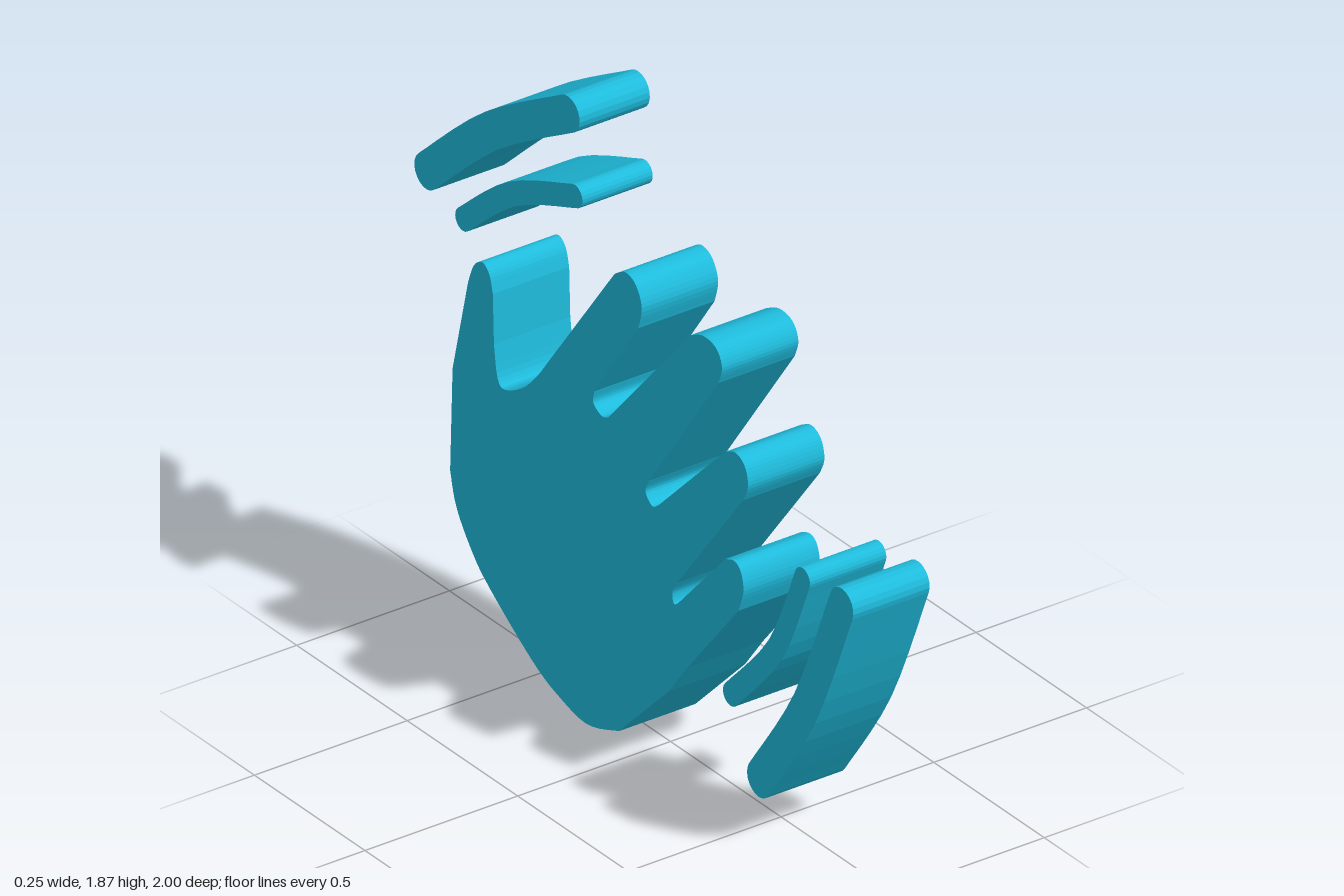
import * as THREE from 'three';

const material = new THREE.MeshStandardMaterial({ color: 0x1fbbdc });
const v = ([a, y]) => new THREE.Vector2(a, y);

// Extrude a side profile (drawn with -z to the right) symmetrically across x
function slab(name, shape, thickness) {
  const geo = new THREE.ExtrudeGeometry(shape, { depth: thickness, bevelEnabled: false, curveSegments: 4 });
  geo.translate(0, 0, -thickness / 2).rotateY(Math.PI / 2);
  const mesh = new THREE.Mesh(geo, material);
  mesh.name = name;
  return mesh;
}

// Curved runs of the hand outline; straight edges join one run to the next
const handRuns = [
  // heel of the palm
  [[0.824, 0.49], [0.797, 0.393], [0.733, 0.297], [0.652, 0.217], [0.45, 0.078], [0.326, 0.024], [0.2, 0], [0.06, 0.045]],
  // outer edge of the palm
  [[-0.165, 0.27], [-0.246, 0.377]],
  // little finger tip, then the gap beside it
  [[-0.48, 0.66], [-0.503, 0.73], [-0.49, 0.785], [-0.46, 0.803], [-0.42, 0.79]],
  [[-0.203, 0.553], [-0.187, 0.548], [-0.182, 0.58], [-0.203, 0.618]],
  // ring finger tip and gap
  [[-0.503, 1.008], [-0.524, 1.06], [-0.508, 1.115], [-0.465, 1.136], [-0.417, 1.115]],
  [[-0.118, 0.815], [-0.09, 0.8], [-0.06, 0.83], [-0.075, 0.87]],
  // middle finger tip and gap
  [[-0.39, 1.313], [-0.406, 1.366], [-0.38, 1.414], [-0.32, 1.425], [-0.262, 1.4]],
  [[0.107, 0.98], [0.139, 0.97], [0.176, 0.992], [0.171, 1.03]],
  // index finger tip, then the web to the thumb
  [[-0.027, 1.313], [-0.043, 1.382], [-0.016, 1.44], [0.032, 1.457], [0.08, 1.43]],
  [[0.38, 1.024], [0.433, 0.954], [0.497, 0.89], [0.578, 0.848], [0.61, 0.87], [0.626, 0.965]],
  // thumb tip and outer side
  [[0.631, 1.115], [0.647, 1.168], [0.679, 1.19], [0.717, 1.163], [0.743, 1.1]],
  [[0.813, 0.805]],
];

function handShape() {
  const shape = new THREE.Shape();
  handRuns.forEach((run, i) => {
    if (i === 0) shape.moveTo(...run[0]);
    else shape.lineTo(...run[0]);
    if (run.length > 1) shape.splineThru(run.slice(1).map(v));
  });
  shape.closePath();
  return shape;
}

// Curved stroke of constant width with round ends
function strokeShape(path, radius) {
  const curve = new THREE.SplineCurve(path.map(v));
  const steps = 10, capSteps = 10;
  const left = [], right = [], startCap = [], endCap = [];
  for (let i = 0; i <= steps; i++) {
    const p = curve.getPoint(i / steps), t = curve.getTangent(i / steps);
    const n = new THREE.Vector2(-t.y, t.x).multiplyScalar(radius);
    left.push(p.clone().add(n));
    right.unshift(p.clone().sub(n));
  }
  for (let i = 1; i < capSteps; i++) {
    const turn = -Math.PI * i / capSteps;
    const end = curve.getPoint(1), start = curve.getPoint(0);
    endCap.push(left[steps].clone().rotateAround(end, turn));
    startCap.push(right[steps].clone().rotateAround(start, turn));
  }
  return new THREE.Shape([...left, ...endCap, ...right, ...startCap]);
}

const motionLines = [
  ['upperOuterMotionLine', [[0.305, 1.812], [0.652, 1.6], [0.947, 1.34]], 0.053, 0.23],
  ['upperInnerMotionLine', [[0.273, 1.575], [0.556, 1.452], [0.781, 1.27]], 0.034, 0.23],
  ['lowerOuterMotionLine', [[-0.947, 0.89], [-0.78, 0.5], [-0.572, 0.188]], 0.053, 0.25],
  ['lowerInnerMotionLine', [[-0.77, 0.89], [-0.647, 0.618], [-0.444, 0.388]], 0.034, 0.25],
];

export function createModel() {
  const group = new THREE.Group();
  group.name = 'wavingHand';
  group.add(slab('hand', handShape(), 0.25));
  for (const [name, path, radius, thickness] of motionLines) {
    group.add(slab(name, strokeShape(path, radius), thickness));
  }
  return group;
}
